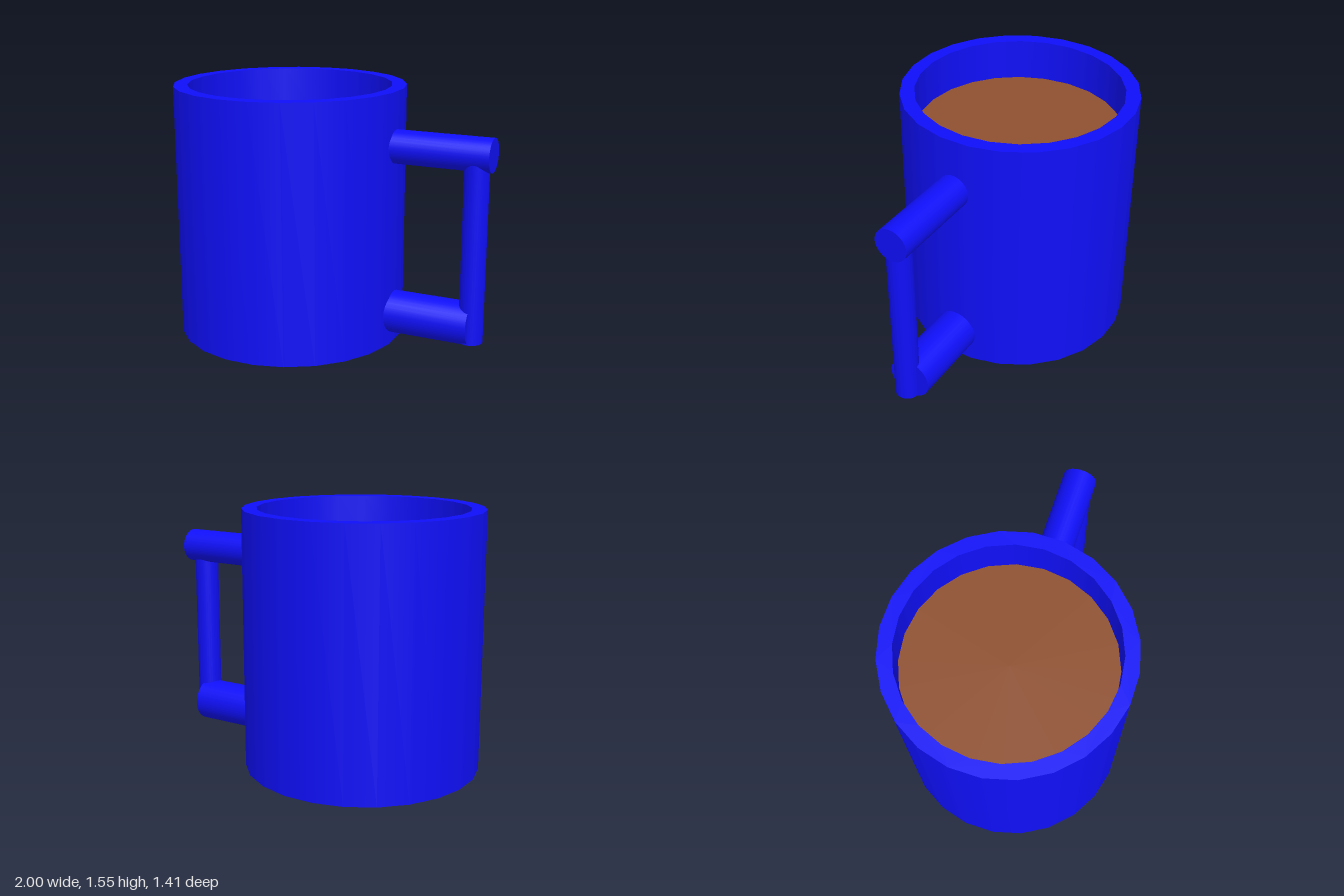
import * as THREE from 'three';

const SIDES = 24;
const TWIST = Math.PI / SIDES; // inner wall is turned half a facet from the outer wall
const OUTER = 0.705, INNER = 0.62, HEIGHT = 1.55, FILL = 1.295, CENTRE_X = -0.295;

const blue = new THREE.MeshStandardMaterial({ color: 0x0f0ff8 });
const brown = new THREE.MeshStandardMaterial({ color: 0x8f5030 });

function add(parent, name, geometry, material = blue) {
  const mesh = new THREE.Mesh(geometry, material);
  mesh.name = name;
  parent.add(mesh);
  return mesh;
}

// Vertical wall from y0 to y1; it faces outward when y1 > y0, inward otherwise
function wall(radius, y0, y1, turn) {
  const profile = [new THREE.Vector2(radius, y0), new THREE.Vector2(radius, y1)];
  return new THREE.LatheGeometry(profile, SIDES, turn);
}

function polygon(radius, turn) {
  return Array.from({ length: SIDES }, (_, i) => {
    const a = turn + (i / SIDES) * Math.PI * 2;
    return new THREE.Vector2(radius * Math.cos(a), radius * Math.sin(a));
  });
}

// Round bar between two points
function bar(parent, name, radius, from, to) {
  const a = new THREE.Vector3(...from), b = new THREE.Vector3(...to);
  const mesh = add(parent, name, new THREE.CylinderGeometry(radius, radius, a.distanceTo(b), 32));
  mesh.position.copy(a).add(b).multiplyScalar(0.5);
  mesh.quaternion.setFromUnitVectors(new THREE.Vector3(0, 1, 0), b.sub(a).normalize());
}

export function createModel() {
  const model = new THREE.Group();
  model.name = 'mug';

  // Cup body
  const cup = new THREE.Group();
  cup.name = 'cup';
  cup.position.x = CENTRE_X;
  model.add(cup);
  add(cup, 'outerWall', wall(OUTER, 0, HEIGHT, 0));
  add(cup, 'innerWall', wall(INNER, HEIGHT, FILL, TWIST));

  const rimShape = new THREE.Shape(polygon(OUTER, 0));
  rimShape.holes.push(new THREE.Path(polygon(INNER, TWIST)));
  const rim = add(cup, 'rim', new THREE.ShapeGeometry(rimShape));
  rim.rotation.x = -Math.PI / 2;
  rim.position.y = HEIGHT;

  const base = add(cup, 'base', new THREE.CircleGeometry(OUTER, SIDES));
  base.rotation.x = Math.PI / 2;

  // Drink surface
  const drink = add(cup, 'drink', new THREE.CircleGeometry(INNER, SIDES, TWIST), brown);
  drink.rotation.x = -Math.PI / 2;
  drink.position.y = FILL;

  // Handle: two slightly skewed arms joined by an upright grip
  const handle = new THREE.Group();
  handle.name = 'handle';
  model.add(handle);
  bar(handle, 'upperArm', 0.101, [0.36, 1.225, -0.07], [0.984, 1.225, -0.155]);
  bar(handle, 'lowerArm', 0.13, [0.36, 0.195, -0.072], [0.894, 0.195, -0.143]);
  bar(handle, 'grip', 0.073, [0.897, 0.09, -0.127], [0.897, 1.2, -0.127]);

  return model;
}
